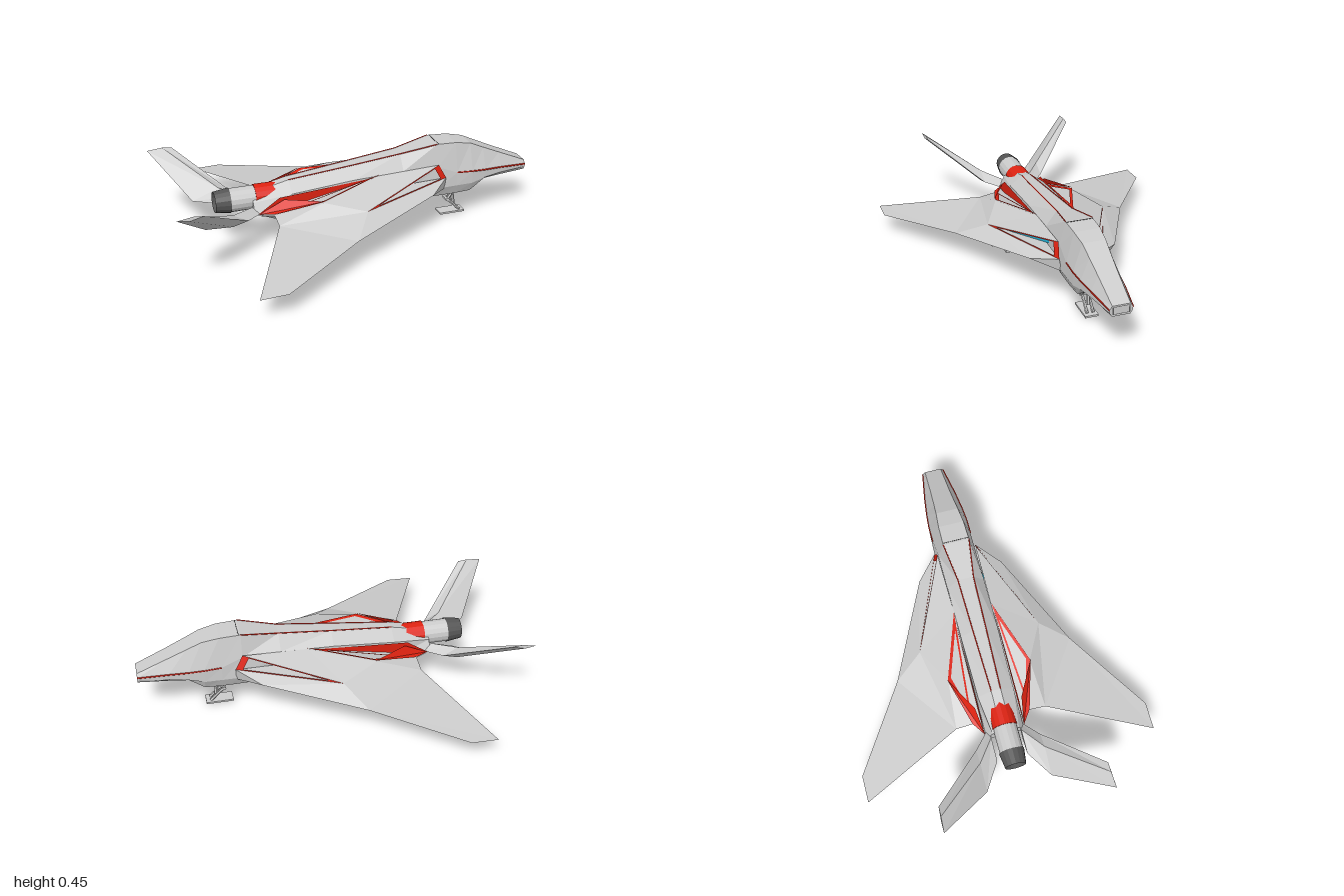
import * as THREE from 'three';

const mat = (color) => new THREE.MeshStandardMaterial({ color, flatShading: true, side: THREE.DoubleSide });
const grey = mat(0xcccccc), red = mat(0xdd2211), cyan = mat(0x22aacc), dark = mat(0x555555);

function mesh(name, geometry, material = grey) {
  const m = new THREE.Mesh(geometry, material);
  m.name = name;
  return m;
}

// Flat faces from lists of corners, each split as a fan
function faces(list) {
  const pos = [];
  for (const f of list)
    for (let i = 1; i < f.length - 1; i++) pos.push(...f[0], ...f[i], ...f[i + 1]);
  const g = new THREE.BufferGeometry();
  g.setAttribute('position', new THREE.Float32BufferAttribute(pos, 3));
  g.computeVertexNormals();
  return g;
}

// Skin through cross-sections with the same number of points, closed at both ends
function loft(sections) {
  const list = [sections[0], [...sections.at(-1)].reverse()];
  for (let i = 0; i < sections.length - 1; i++) {
    const a = sections[i], b = sections[i + 1], n = a.length;
    for (let j = 0; j < n; j++) list.push([a[j], b[j], b[(j + 1) % n], a[(j + 1) % n]]);
  }
  return faces(list);
}

// Outline shrunk toward its centre, and the border between the two
const mix = (a, b, t) => a.map((v, i) => v + (b[i] - v) * t);
function inset(pts, t) {
  const c = [0, 1, 2].map((k) => pts.reduce((s, p) => s + p[k], 0) / pts.length);
  return pts.map((p) => mix(p, c, t));
}
function frame(pts, t) {
  const q = inset(pts, t), n = pts.length;
  return faces(pts.map((p, i) => [p, pts[(i + 1) % n], q[(i + 1) % n], q[i]]));
}
const shift = (pts, dx, dy, dz) => pts.map((p) => [p[0] + dx, p[1] + dy, p[2] + dz]);

// Straight bar between two points
function bar(name, a, b, r, material = grey, sides = 6) {
  const p = new THREE.Vector3(...a), q = new THREE.Vector3(...b), d = q.clone().sub(p);
  const m = mesh(name, new THREE.CylinderGeometry(r, r, d.length(), sides), material);
  m.position.copy(p).add(q).multiplyScalar(0.5);
  m.quaternion.setFromUnitVectors(new THREE.Vector3(0, 1, 0), d.normalize());
  return m;
}
function box(name, size, at, material = grey) {
  const m = mesh(name, new THREE.BoxGeometry(...size), material);
  m.position.set(...at);
  return m;
}

// Stations: x, then half width and height of top, shoulder, side and belly edges
const stations = [
  [1.0, 0.045, 0.275, 0.058, 0.255, 0.058, 0.24, 0.045, 0.22],
  [0.84, 0.05, 0.345, 0.085, 0.27, 0.085, 0.24, 0.06, 0.215],
  [0.74, 0.055, 0.39, 0.098, 0.275, 0.098, 0.23, 0.07, 0.21],
  [0.66, 0.06, 0.427, 0.105, 0.28, 0.105, 0.21, 0.08, 0.157],
  [0.57, 0.068, 0.445, 0.105, 0.285, 0.108, 0.21, 0.085, 0.155],
  [0.46, 0.07, 0.45, 0.1, 0.33, 0.11, 0.21, 0.085, 0.155],
  [0.26, 0.042, 0.412, 0.1, 0.335, 0.1, 0.2, 0.08, 0.157],
  [-0.02, 0.035, 0.38, 0.1, 0.325, 0.1, 0.185, 0.075, 0.175],
  [-0.35, 0.025, 0.345, 0.095, 0.295, 0.1, 0.2, 0.07, 0.18],
  [-0.55, 0.025, 0.3, 0.07, 0.265, 0.1, 0.205, 0.06, 0.19],
];
function ring([x, tw, ty, sw, sy, mw, my, bw, by]) {
  const half = [[x, ty, tw], [x, sy, sw], [x, my, mw], [x, by, bw]];
  return [...half, ...half.map(([a, b, c]) => [a, b, -c]).reverse()];
}

function wing() {
  const g = new THREE.Group();
  g.name = 'wing';
  const A = [0.46, 0.345, 0.105], B = [-0.02, 0.25, 0.325], C = [0.5, 0.27, 0.115];
  const L1 = [0.38, 0.235, 0.23], L2 = [-0.12, 0.174, 0.475], L3 = [-0.56, 0.125, 0.77];
  const T3 = [-0.7, 0.12, 0.77], T2 = [-0.46, 0.2, 0.24], T1 = [-0.46, 0.215, 0.15], T0 = [-0.53, 0.2, 0.1];
  const P = [0.12, 0.33, 0.1], Q = [-0.22, 0.282, 0.22];
  const E0 = [0.5, 0.2, 0.1], E1 = [-0.02, 0.178, 0.09], E2 = [-0.5, 0.19, 0.09], U = [-0.2, 0.15, 0.28];
  g.add(mesh('wingTop', faces([[A, P, B], [P, Q, B], [C, B, L1], [B, L2, L1], [Q, T2, B], [B, T2, L2],
    [L2, T2, T3, L3], [Q, T1, T2], [P, T1, Q], [P, T0, T1]])));
  g.add(mesh('wingUnderside', faces([[C, L1, E0], [E0, L1, E1], [L1, U, E1], [L1, L2, U], [L2, L3, U],
    [L3, T3, U], [T3, T2, U], [T2, T1, U], [T1, T0, E2, U], [E2, E1, U]])));

  // Triangular side intake with a recessed back wall
  const mouth = [A, B, C];
  g.add(mesh('intakeFrame', frame(mouth, 0.2), red));
  g.add(mesh('intakeBackWall', faces([[[0.31, 0.322, 0.1], [0.31, 0.262, 0.1], [0.06, 0.252, 0.27], [0.09, 0.272, 0.25]]]), cyan));
  g.add(mesh('intakeFloor', faces([[C, B, [0, 0.25, 0.1]]])));

  // Red trim around the upper vent and along the body beside it
  g.add(mesh('ventFrame', frame(shift([P, Q, T1], 0, 0.006, 0.002), 0.3), red));
  g.add(mesh('ventRear', faces([shift([Q, T1, T0, [-0.4, 0.275, 0.12]], 0, 0.01, 0.004)]), red));
  g.add(mesh('bodyTrim', faces([[[0.12, 0.327, 0.106], [-0.42, 0.29, 0.106], [-0.53, 0.215, 0.106], [-0.3, 0.225, 0.108]]]), red));

  // Framed panel on the underside, set in the plane of U, L1 and L3
  const at = (a, b) => U.map((u, i) => u + a * (L1[i] - u) + b * (L3[i] - u));
  const panel = shift([at(0.42, 0.05), at(0.06, 0.78), at(0.05, 0.06)], 0.001, -0.005, 0.001);
  g.add(mesh('underPanelFrame', frame(panel, 0.28), red));
  g.add(mesh('underPanelGap', faces([inset(panel, 0.28)]), dark));
  g.add(mesh('underPanel', faces([shift(inset(panel, 0.45), 0, -0.003, 0)]), cyan));
  g.add(mesh('bellyPanel', faces([shift([mix(E1, U, 0.1), mix(E1, U, 0.75), mix(E2, U, 0.75), mix(E2, E1, 0.5)], 0, -0.004, 0)]), cyan));
  return g;
}

function tailFin() {
  return mesh('tailFin', loft([
    [[-0.5, 0.21, 0.08], [-0.56, 0.245, 0.08], [-0.68, 0.21, 0.08], [-0.6, 0.19, 0.08]],
    [[-0.6, 0.22, 0.17], [-0.68, 0.262, 0.17], [-0.82, 0.205, 0.17], [-0.68, 0.198, 0.17]],
    [[-0.87, 0.415, 0.43], [-0.92, 0.42, 0.43], [-1.0, 0.41, 0.435], [-0.94, 0.4, 0.435]],
  ]));
}

function mainGear() {
  const g = new THREE.Group();
  g.name = 'mainGear';
  g.add(bar('upperStrut', [-0.17, 0.17, 0.215], [-0.14, 0.1, 0.2], 0.014));
  g.add(bar('lowerStrut', [-0.14, 0.11, 0.2], [-0.17, 0.015, 0.178], 0.011));
  g.add(bar('brace', [-0.24, 0.16, 0.22], [-0.15, 0.06, 0.19], 0.006));
  g.add(box('foot', [0.11, 0.012, 0.03], [-0.185, 0.006, 0.178]));
  g.add(box('ankle', [0.05, 0.025, 0.02], [-0.16, 0.024, 0.18]));
  g.add(mesh('gearDoor', loft([0.27, 0.276].map((z) =>
    [[-0.31, 0.155, z], [-0.12, 0.165, z], [-0.12, 0.06, z], [-0.24, 0.07, z]]))));
  return g;
}

function noseGear() {
  const g = new THREE.Group();
  g.name = 'noseGear';
  for (const s of [-1, 1]) {
    g.add(bar('upperStrut', [0.605, 0.16, s * 0.016], [0.555, 0.085, s * 0.016], 0.009));
    g.add(bar('lowerStrut', [0.555, 0.09, s * 0.016], [0.63, 0.018, s * 0.016], 0.008));
  }
  g.add(bar('brace', [0.59, 0.13, 0], [0.6, 0.05, 0], 0.01));
  g.add(bar('knee', [0.555, 0.088, -0.026], [0.555, 0.088, 0.026], 0.01));
  g.add(box('foot', [0.145, 0.01, 0.07], [0.583, 0.012, 0]));
  return g;
}

export function createModel() {
  const model = new THREE.Group();
  model.name = 'jet';
  model.add(mesh('fuselage', loft(stations.map(ring))));
  model.add(mesh('noseFrame', frame([[1.002, 0.27, 0.044], [1.002, 0.27, -0.044], [1.002, 0.23, -0.044], [1.002, 0.23, 0.044]], 0.15), dark));
  model.add(bar('canopySeam', [0.47, 0.45, -0.07], [0.47, 0.45, 0.07], 0.002, dark));

  // Engine along the tail
  const pipe = (name, x0, x1, r, m) => bar(name, [x0, 0.265, 0], [x1, 0.265, 0], r, m, 16);
  model.add(pipe('engineBand', -0.53, -0.3, 0.066, red), pipe('engineCasing', -0.67, -0.53, 0.062, grey));
  const nozzle = mesh('nozzle', new THREE.CylinderGeometry(0.066, 0.055, 0.08, 16, 1, true), dark);
  nozzle.rotation.z = -Math.PI / 2;
  nozzle.position.set(-0.7, 0.265, 0);
  model.add(nozzle, noseGear());

  // Left half, then its mirror image
  const half = new THREE.Group();
  half.name = 'leftSide';
  half.add(wing(), tailFin(), mainGear());
  for (let i = 0; i < stations.length - 2; i++) {
    const a = stations[i], b = stations[i + 1];
    if (i < 4) half.add(bar('noseStripe', [a[0], a[4], a[3]], [b[0], b[4], b[3]], 0.004, red));
    if (i > 4) half.add(bar('spineStripe', [a[0], a[2], a[1]], [b[0], b[2], b[1]], 0.003, red));
  }
  const other = half.clone();
  other.name = 'rightSide';
  other.scale.z = -1;
  model.add(half, other);
  return model;
}
